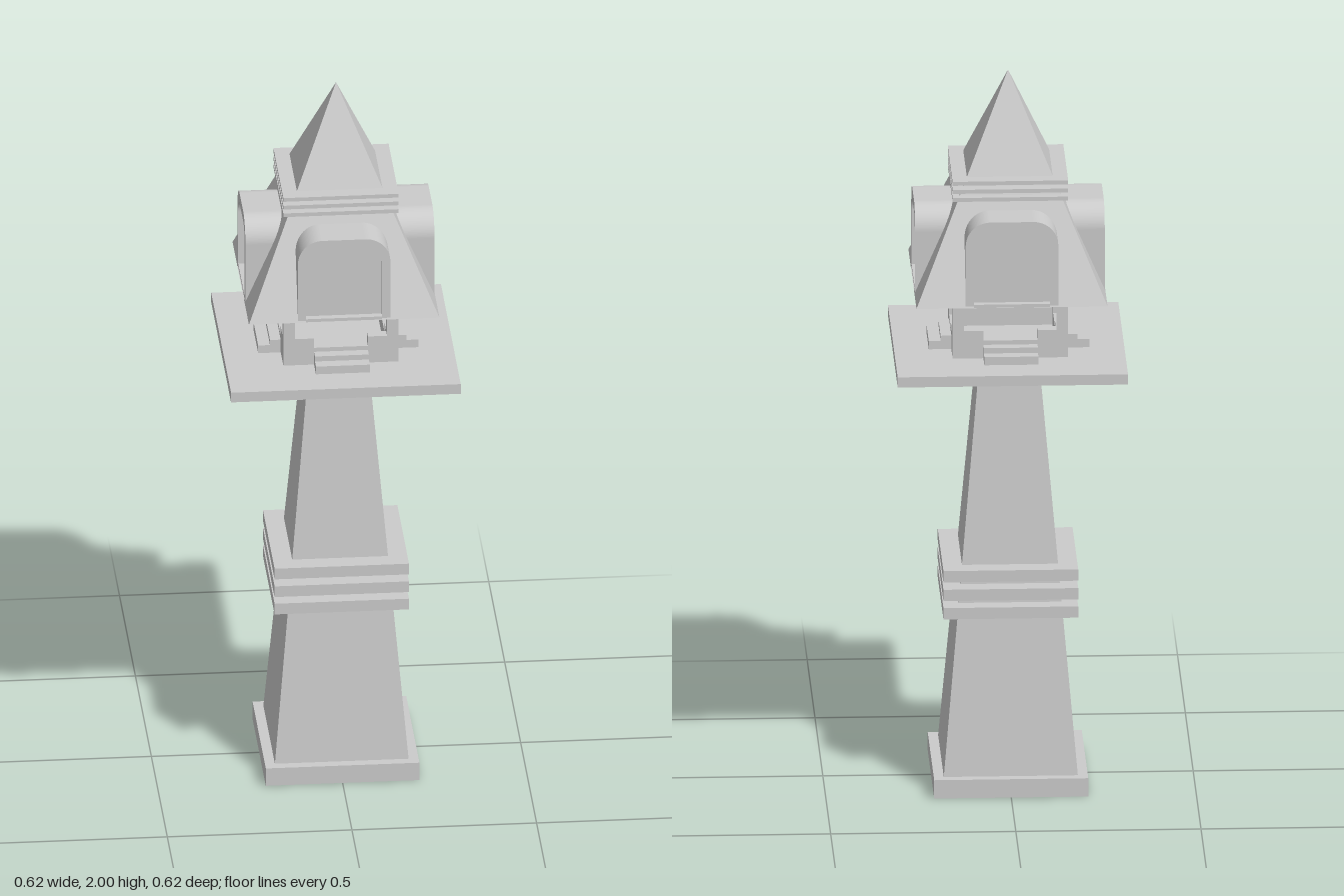
import * as THREE from 'three';

const material = new THREE.MeshStandardMaterial({ color: 0xcccccc, side: THREE.DoubleSide });

function add(parent, name, geometry) {
  const mesh = new THREE.Mesh(geometry, material);
  mesh.name = name;
  parent.add(mesh);
  return mesh;
}

// Box given by its centre x, z, and its bottom and top heights
function block(parent, name, w, d, y0, y1, x = 0, z = 0) {
  add(parent, name, new THREE.BoxGeometry(w, y1 - y0, d)).position.set(x, (y0 + y1) / 2, z);
}

// Trace a round-cornered arch from lower left to lower right
function traceArch(path, half, y0, y1, r) {
  path.lineTo(-half, y0);
  path.lineTo(-half, y1 - r);
  path.absarc(-half + r, y1 - r, r, Math.PI, Math.PI / 2, true);
  path.absarc(half - r, y1 - r, r, Math.PI / 2, 0, true);
  path.lineTo(half, y0);
  return path;
}

function arch(PathType, half, y0, y1, r) {
  return traceArch(new PathType().moveTo(-half, y0), half, y0, y1, r);
}

function extrude(shape, z0, z1) {
  const g = new THREE.ExtrudeGeometry(shape, { depth: z1 - z0, bevelEnabled: false, curveSegments: 14 });
  return g.translate(0, 0, z0);
}

const EAVE = 1.408, APEX = 2, ROOF = 0.258;
const WALL = 0.156, THICK = 0.031, DECK = 1.232;

// One sloping roof face, notched behind the dormer window
function roofFace() {
  const s = new THREE.Shape();
  s.moveTo(-ROOF, EAVE);
  traceArch(s, 0.103, EAVE, 1.62, 0.048);
  s.lineTo(ROOF, EAVE);
  s.lineTo(0, APEX);
  const g = new THREE.ShapeGeometry(s, 14);
  const p = g.attributes.position;
  for (let i = 0; i < p.count; i++) p.setZ(i, (APEX - p.getY(i)) * ROOF / (APEX - EAVE));
  g.computeVertexNormals();
  return g;
}

// Dormer surround with its window opening
function dormerFrame() {
  const s = arch(THREE.Shape, 0.125, EAVE, 1.65, 0.067);
  s.holes.push(arch(THREE.Path, 0.103, 1.417, 1.62, 0.048));
  return extrude(s, 0.14, 0.256);
}

// Wall with one corner post, parapets and a doorway; the next side closes the other corner
function lanternWall() {
  const a = WALL, b = WALL - THICK, d = 0.073;
  const pts = [[-a, DECK], [-d, DECK], [-d, 1.28], [d, 1.28], [d, DECK], [b, DECK],
    [b, 1.31], [d, 1.31], [d, 1.28], [-d, 1.28], [-d, 1.31], [-b, 1.31], [-b, EAVE], [-a, EAVE]];
  const left = [pts[0], pts[1], pts[10], pts[11], pts[12], pts[13]];
  const right = [pts[4], pts[5], pts[6], pts[7]];
  const shapes = [left, right].map(l => new THREE.Shape(l.map(q => new THREE.Vector2(...q))));
  return extrude(shapes, b, a);
}

export function createModel() {
  const model = new THREE.Group();
  model.name = 'tower';

  // Base, tapering shaft and its bands
  block(model, 'base', 0.416, 0.416, 0, 0.052);
  const shaft = new THREE.CylinderGeometry(0.08 * Math.SQRT2, 0.181 * Math.SQRT2, 1.153, 4)
    .toNonIndexed().rotateY(Math.PI / 4);
  shaft.computeVertexNormals();
  add(model, 'shaft', shaft).position.y = 0.052 + 1.153 / 2;
  for (const y of [0.5, 0.552, 0.605]) block(model, 'shaftBand', 0.364, 0.364, y, y + 0.032);

  // Viewing platform
  block(model, 'platform', 0.622, 0.622, 1.203, DECK);

  // Four matching sides of the lantern room and roof
  for (let i = 0; i < 4; i++) {
    const side = new THREE.Group();
    side.name = 'lanternSide';
    side.rotation.y = i * Math.PI / 2;
    model.add(side);
    add(side, 'wall', lanternWall());
    block(side, 'lowerStep', 0.146, 0.032, DECK, 1.255, 0, 0.201);
    block(side, 'middleStep', 0.146, 0.029, DECK, 1.27, 0, 0.1705);
    block(side, 'doorSill', 0.146, THICK, DECK, 1.282, 0, WALL - THICK / 2);
    add(side, 'roofFace', roofFace());
    add(side, 'dormerFrame', dormerFrame());
    add(side, 'windowPanel', extrude(arch(THREE.Shape, 0.104, 1.412, 1.622, 0.048), 0.14, 0.237));
  }

  // Roof underside and the thin bands below the spire
  add(model, 'roofUnderside', new THREE.PlaneGeometry(ROOF * 2, ROOF * 2).rotateX(Math.PI / 2)).position.y = EAVE;
  for (const y of [1.677, 1.7, 1.723]) block(model, 'roofBand', 0.312, 0.312, y, y + 0.011);

  return model;
}
